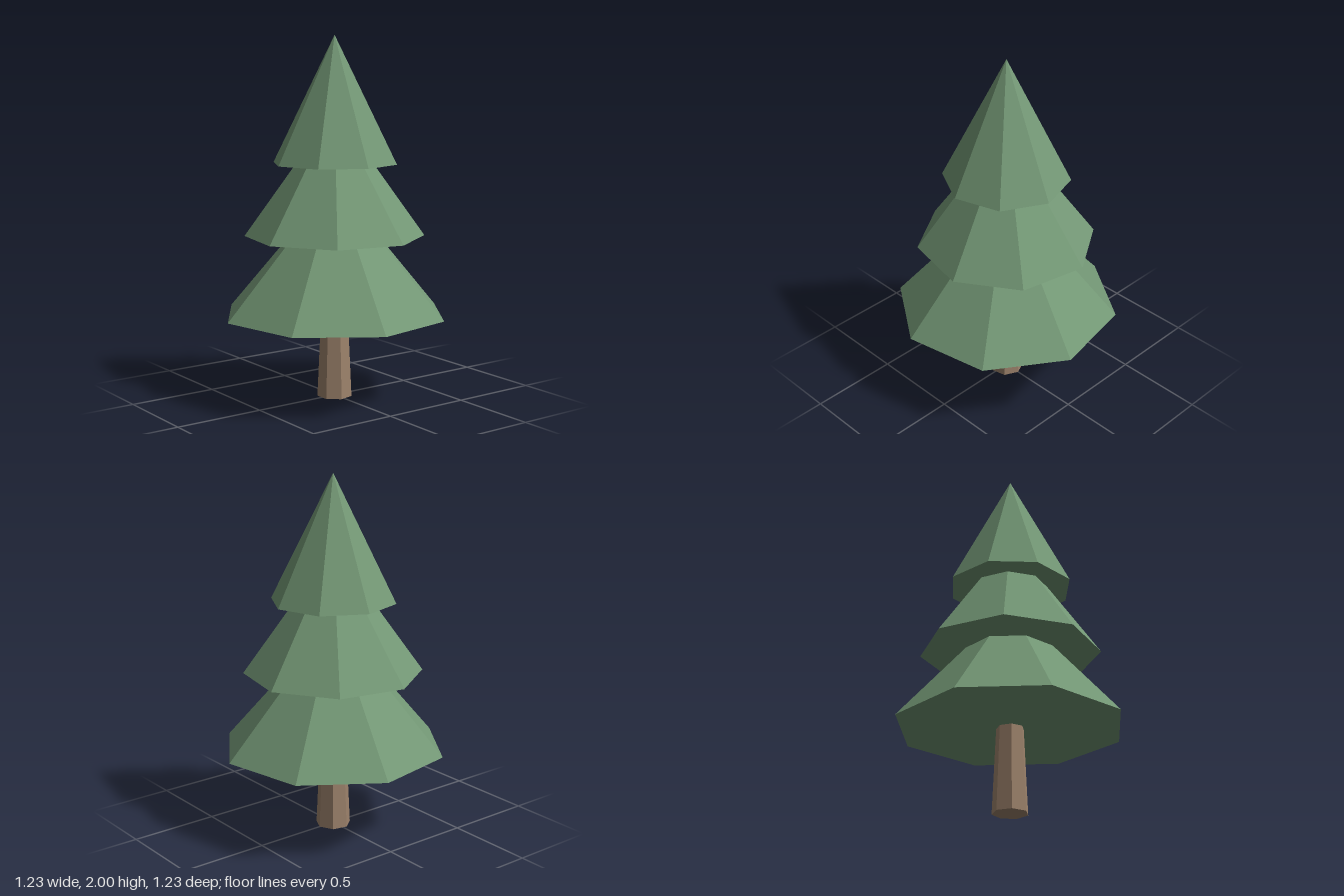
import * as THREE from 'three';

export function createModel() {
  const tree = new THREE.Group();
  tree.name = 'pineTree';

  const foliage = new THREE.MeshStandardMaterial({ color: 0x739775, flatShading: true });
  foliage.name = 'needle green';
  const bark = new THREE.MeshStandardMaterial({ color: 0x9c826b, flatShading: true });
  bark.name = 'bark brown';

  // Tapered seven-sided trunk, running up just inside the lowest tier
  const trunkHeight = 0.49;
  const trunk = new THREE.Mesh(
    new THREE.CylinderGeometry(0.075, 0.098, trunkHeight, 7, 1, false, Math.PI / 2), bark);
  trunk.name = 'trunk';
  trunk.position.y = trunkHeight / 2;
  tree.add(trunk);

  // Three overlapping eight-sided cones, each turned differently
  const tiers = [
    { name: 'lowerFoliage', radius: 0.63, base: 0.47, tip: 1.2, turn: 33.5 },
    { name: 'middleFoliage', radius: 0.496, base: 0.905, tip: 1.6, turn: 10.5 },
    { name: 'topFoliage', radius: 0.348, base: 1.305, tip: 2, turn: 39.5 },
  ];
  for (const { name, radius, base, tip, turn } of tiers) {
    const cone = new THREE.Mesh(
      new THREE.ConeGeometry(radius, tip - base, 8, 1, false, THREE.MathUtils.degToRad(turn)), foliage);
    cone.name = name;
    cone.position.y = (base + tip) / 2;
    tree.add(cone);
  }
  return tree;
}
